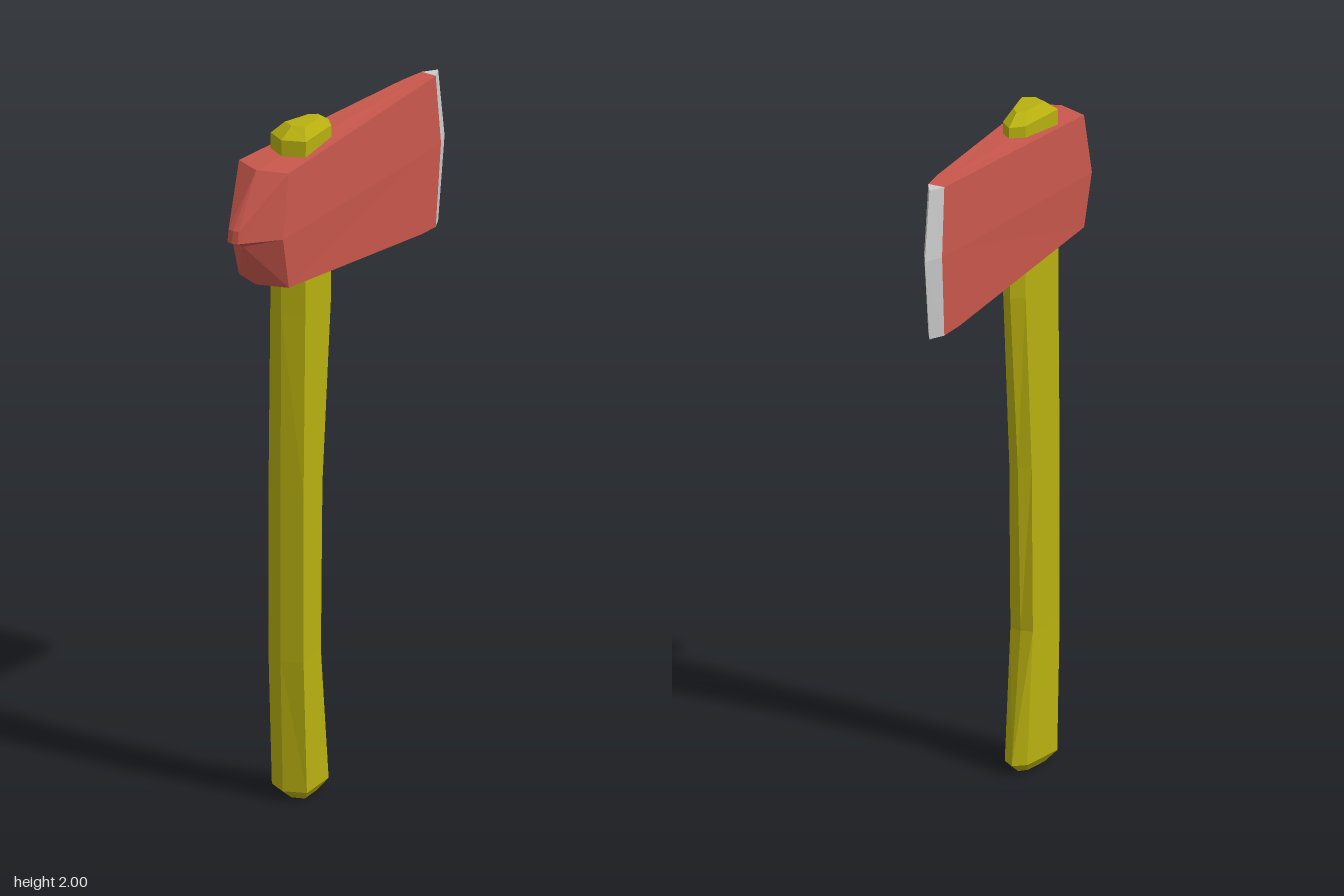
import * as THREE from 'three';

// Lofts half cross-sections (x >= 0) and mirrors them across x = 0.
// Optional apex points close the first and last section with a fan.
function mirroredLoft(name, color, sections, startApex, endApex) {
  const pos = [];
  const tri = (a, b, c) => {
    pos.push(...a, ...b, ...c);
    for (const p of [a, c, b]) pos.push(-p[0], p[1], p[2]);
  };
  for (let s = 0; s < sections.length - 1; s++) {
    const p = sections[s], q = sections[s + 1];
    for (let i = 0; i < p.length - 1; i++) {
      tri(p[i], p[i + 1], q[i]);
      tri(p[i + 1], q[i + 1], q[i]);
    }
  }
  const fan = (loop, apex, flip) => {
    for (let i = 0; i < loop.length - 1; i++) {
      if (flip) tri(apex, loop[i + 1], loop[i]);
      else tri(apex, loop[i], loop[i + 1]);
    }
  };
  if (startApex) fan(sections[0], startApex, true);
  if (endApex) fan(sections[sections.length - 1], endApex, false);

  const geometry = new THREE.BufferGeometry();
  geometry.setAttribute('position', new THREE.Float32BufferAttribute(pos, 3));
  geometry.computeVertexNormals();
  const mesh = new THREE.Mesh(geometry, new THREE.MeshStandardMaterial({ color, flatShading: true }));
  mesh.name = name;
  return mesh;
}

// Half of the six-sided handle section: front ridge, wide side, narrow side, back ridge
const handleSection = (y, front, wideZ, narrowZ, back, wide = 0.062, narrow = 0.035) => [
  [0, y, front], [wide, y, wideZ], [narrow, y, narrowZ], [0, y, back],
];

// Half of the head section: top centre, top edge, bulged middle, bottom edge, bottom centre
const headSection = (top, mid, bottom, edgeX, midX, edgeZ, midZ, centreZ) => [
  [0, top, centreZ], [edgeX, top, edgeZ], [midX, mid, midZ], [edgeX, bottom, edgeZ], [0, bottom, centreZ],
];

export function createModel() {
  const group = new THREE.Group();
  group.name = 'axe';

  // Curved wooden handle with bevelled ends
  group.add(mirroredLoft('handle', 0xb8b010, [
    handleSection(0, 0.21, 0.195, 0.12, 0.1, 0.035, 0.02),
    handleSection(0.03, 0.25, 0.22, 0.087, 0.06),
    handleSection(0.42, 0.26, 0.235, 0.122, 0.115),
    handleSection(0.92, 0.26, 0.235, 0.115, 0.098),
    handleSection(1.45, 0.257, 0.227, 0.077, 0.05),
    handleSection(1.97, 0.256, 0.225, 0.075, 0.043),
    handleSection(2, 0.21, 0.195, 0.11, 0.09, 0.035, 0.02),
  ], [0, 0, 0.16], [0, 2, 0.15]));

  // Head, from the pointed poll back to the blade
  const bladeEnd = headSection(1.97, 1.765, 1.52, 0.025, 0.028, -0.41, -0.43, -0.41);
  const under = [0, 1.705, 0.43];
  group.add(mirroredLoft('head', 0xc8574c, [
    [[0, 1.765, 0.475], [0.018, 1.765, 0.472], [0.018, 1.73, 0.477], under, under],
    headSection(1.915, 1.73, 1.575, 0.088, 0.095, 0.335, 0.37, 0.37),
    headSection(1.966, 1.762, 1.523, 0.035, 0.039, -0.335, -0.35, -0.335),
    bladeEnd,
  ], [0, 1.73, 0.482]));

  // Sharpened steel strip tapering to the cutting edge
  const edgeTop = [0, 1.97, -0.453], edgeMid = [0, 1.765, -0.482], edgeBottom = [0, 1.52, -0.453];
  group.add(mirroredLoft('cuttingEdge', 0xcccccc, [
    bladeEnd,
    [edgeTop, edgeTop, edgeMid, edgeBottom, edgeBottom],
  ]));

  return group;
}
